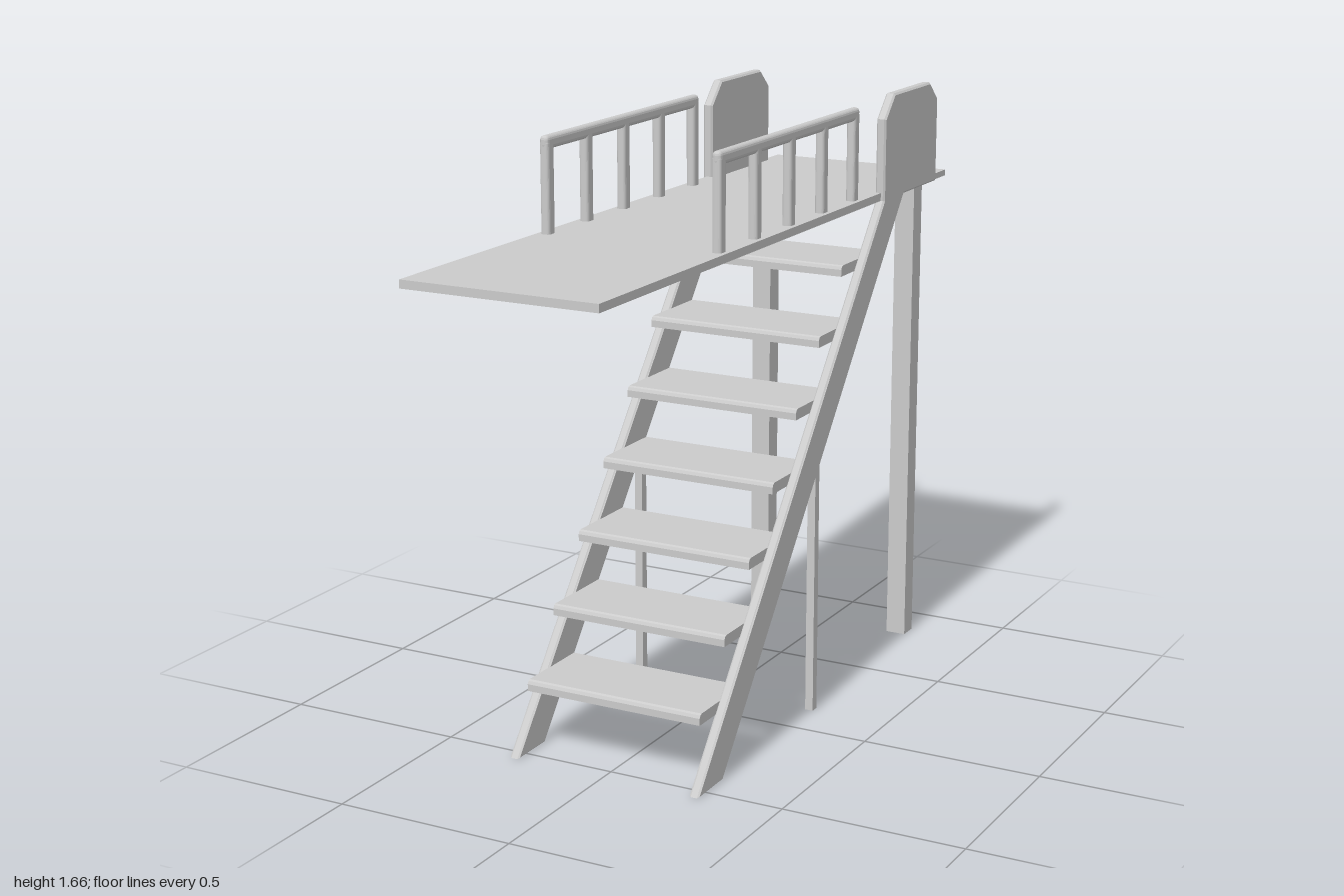
import * as THREE from 'three';
import { RoundedBoxGeometry } from 'three/addons/geometries/RoundedBoxGeometry.js';

const material = new THREE.MeshStandardMaterial({ color: 0xcccccc, flatShading: true });

function add(parent, name, geometry) {
  const mesh = new THREE.Mesh(geometry, material);
  mesh.name = name;
  parent.add(mesh);
  return mesh;
}

// Box given by its minimum and maximum corners
function box(parent, name, [x0, y0, z0], [x1, y1, z1]) {
  const g = new THREE.BoxGeometry(x1 - x0, y1 - y0, z1 - z0);
  g.translate((x0 + x1) / 2, (y0 + y1) / 2, (z0 + z1) / 2);
  return add(parent, name, g);
}

// Box with softened edges, given by centre and size
function softBox(parent, name, center, size, radius) {
  const g = new RoundedBoxGeometry(...size, 2, radius);
  g.translate(...center);
  return add(parent, name, g);
}

// Extrude a (z, y) side profile across x from x0 to x1
function sideProfile(parent, name, points, x0, x1, bevel = 0) {
  const shape = new THREE.Shape(points.map(([z, y]) => new THREE.Vector2(z, y)));
  const g = new THREE.ExtrudeGeometry(shape, {
    depth: x1 - x0 - 2 * bevel,
    bevelEnabled: bevel > 0,
    bevelSize: bevel,
    bevelOffset: -bevel,
    bevelThickness: bevel,
    bevelSegments: 1,
  });
  g.rotateY(-Math.PI / 2);
  g.translate(x1 - bevel, 0, 0);
  return add(parent, name, g);
}

export function createModel() {
  const model = new THREE.Group();
  model.name = 'divingPlatform';

  // Springboard and the slightly lower rear deck
  box(model, 'divingBoard', [-0.273, 1.365, -0.55], [0.273, 1.387, 1]);
  box(model, 'rearDeck', [-0.273, 1.365, -1], [0.273, 1.382, -0.55]);

  // Stair treads with an eased front edge
  const treads = new THREE.Group();
  treads.name = 'treads';
  model.add(treads);
  for (let i = 0; i < 7; i++) {
    const y = 0.205 + i * 0.1693;
    const z = 0.49 - i * 0.136;
    sideProfile(treads, 'tread', [
      [z, y - 0.03], [z, y - 0.011], [z - 0.004, y - 0.003], [z - 0.011, y],
      [z - 0.235, y], [z - 0.235, y - 0.03],
    ], -0.258, 0.258);
  }

  for (const side of [1, -1]) {
    const half = new THREE.Group();
    half.name = side > 0 ? 'leftSide' : 'rightSide';
    model.add(half);
    const span = (a, b) => (side > 0 ? [a, b] : [-b, -a]);

    // Sloping stringer that runs up into the clipped-corner guard panel
    sideProfile(half, 'stringerAndGuard', [
      [0.545, 0], [-0.545, 1.365], [-0.545, 1.592], [-0.605, 1.656],
      [-0.852, 1.656], [-0.907, 1.605], [-0.907, 1.365], [-0.68, 1.365], [0.41, 0],
    ], ...span(0.256, 0.284), 0.005);

    // Rear post and the thin strut under the stringer
    const [p0, p1] = span(0.2, 0.258);
    box(half, 'rearPost', [p0, 0, -0.866], [p1, 1.366, -0.811]);
    const [s0, s1] = span(0.258, 0.281);
    box(half, 'strut', [s0, 0, -0.155], [s1, 0.74, -0.131]);

    // Handrail with five uprights
    const rail = new THREE.Group();
    rail.name = 'handrail';
    half.add(rail);
    const x = side * 0.247;
    softBox(rail, 'topRail', [x, 1.623, -0.022], [0.026, 0.036, 0.816], 0.011);
    for (let i = 0; i < 5; i++) {
      softBox(rail, 'railPost', [x, 1.499, 0.368 - i * 0.195], [0.026, 0.262, 0.035], 0.009);
    }
  }
  return model;
}
